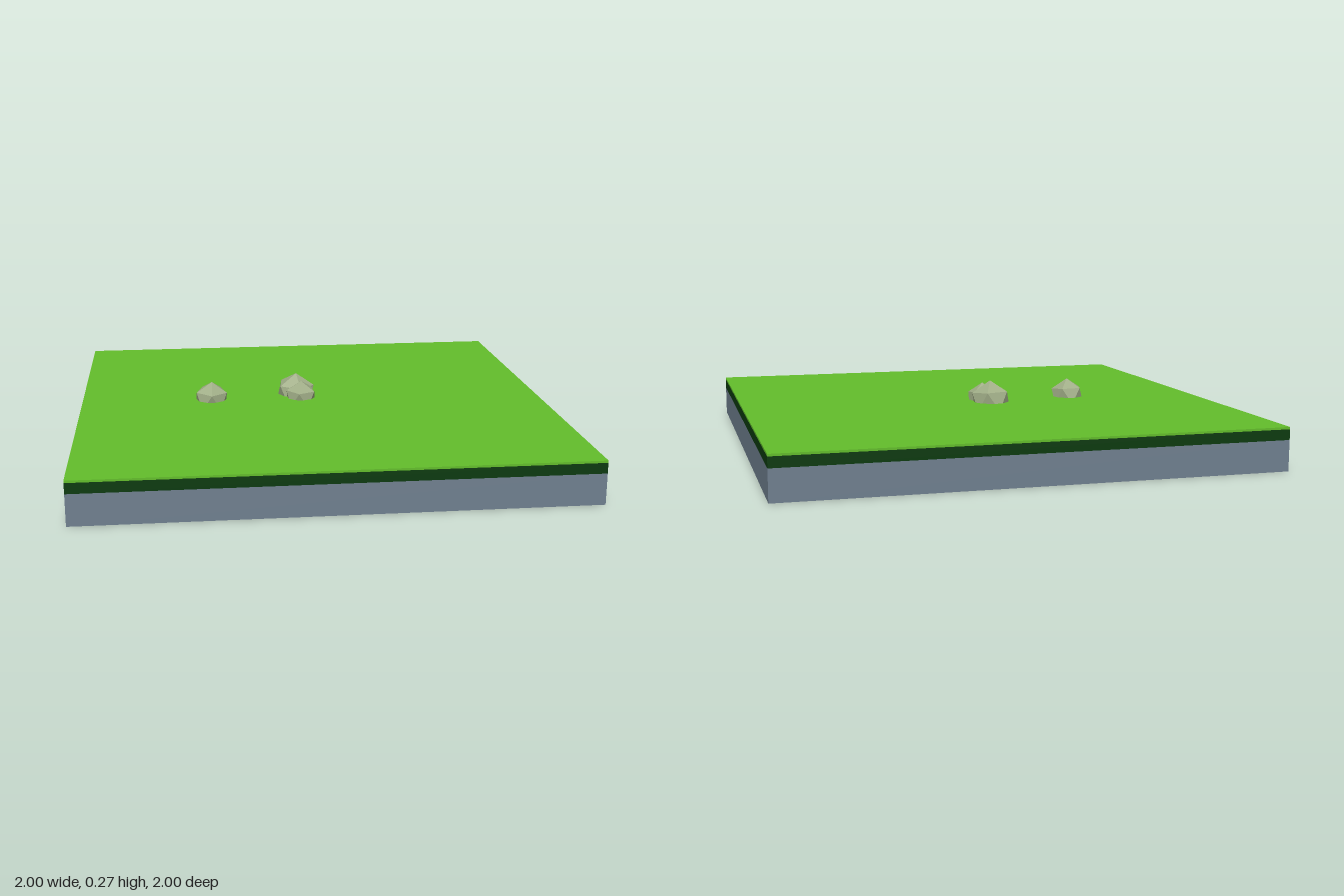
import * as THREE from 'three';

export function createModel() {
  const group = new THREE.Group();
  group.name = 'groundTile';

  const material = (name, color, flatShading = false) => {
    const m = new THREE.MeshStandardMaterial({ color, flatShading });
    m.name = name;
    return m;
  };
  const stone = material('slateGrey', 0x708090);
  const soil = material('darkGreen', 0x0b3a0e);
  const grass = material('grassGreen', 0x63be2b);
  const rock = material('paleRock', 0xa0ad87, true);

  // Stacked square layers of the tile
  const layer = (name, bottom, top, mat) => {
    const mesh = new THREE.Mesh(new THREE.BoxGeometry(2, top - bottom, 2), mat);
    mesh.position.y = (bottom + top) / 2;
    mesh.name = name;
    group.add(mesh);
  };
  layer('stoneBase', 0, 0.124, stone);
  layer('turfEdge', 0.124, 0.166, soil);
  layer('grassTop', 0.166, 0.175, grass);

  // Faceted rocks, half sunk in the grass, each with a point upwards
  const addRock = (name, x, z, radius, yaw) => {
    const geometry = new THREE.IcosahedronGeometry(radius, 0);
    geometry.rotateZ(Math.atan(2 / (1 + Math.sqrt(5))));
    geometry.rotateX(0.08);
    geometry.rotateY(yaw);
    const mesh = new THREE.Mesh(geometry, rock);
    mesh.position.set(x, 0.177, z);
    mesh.name = name;
    group.add(mesh);
  };
  addRock('singleRock', -0.44, -0.02, 0.077, 0.3);
  addRock('largeRock', -0.065, -0.083, 0.09, 0.5);
  addRock('smallRock', -0.047, -0.012, 0.072, 0.1);

  return group;
}
